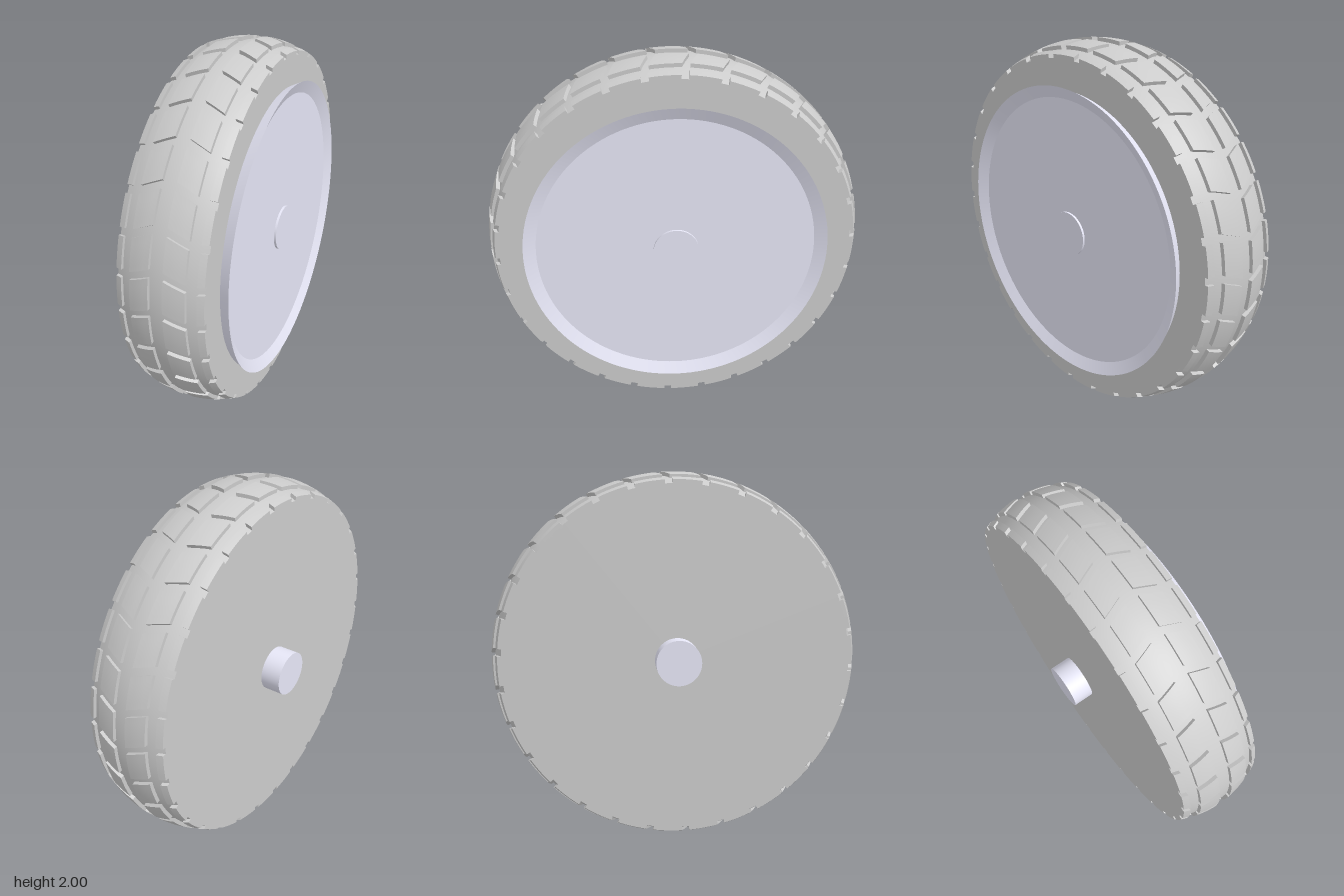
import * as THREE from 'three';
import { toCreasedNormals } from 'three/addons/utils/BufferGeometryUtils.js';

const MID = 0.0275;   // tyre centre plane along x
const HALF = 0.2275;  // tyre half width
const PITCHES = 30;   // tread repeats round the tyre
const STEP = (Math.PI * 2) / PITCHES;
const deg = THREE.MathUtils.degToRad;

const rubber = new THREE.MeshStandardMaterial({ color: 0xcccccc });
const metal = new THREE.MeshStandardMaterial({ color: 0xe6e6f6 });

// Crowned tyre radius at a distance u from the centre plane
const baseRadius = (u) => 0.981 - u * u;

// Revolve [x, radius] pairs round the x axis
function revolve(name, pairs, material, segments = 120) {
  const geo = new THREE.LatheGeometry(pairs.map(([x, r]) => new THREE.Vector2(r, x)), segments);
  geo.rotateZ(-Math.PI / 2);
  const mesh = new THREE.Mesh(toCreasedNormals(geo, 0.4), material);
  mesh.name = name;
  return mesh;
}

// Raised tread block between u0 and u1, wrapped on the crown.
// Angles run from the front (+z) over the top; slant shifts the block back away from the centre.
function treadBlock(u0, u1, start, end, slant) {
  const geo = new THREE.BoxGeometry(1, 1, 1, 4, 1, 5);
  const p = geo.attributes.position;
  for (let i = 0; i < p.count; i++) {
    const u = THREE.MathUtils.lerp(u0, u1, p.getX(i) + 0.5);
    const r = baseRadius(u) + (p.getY(i) > 0 ? 0.02 : -0.01);
    const a = THREE.MathUtils.lerp(end, start, p.getZ(i) + 0.5) - slant * Math.abs(u);
    p.setXYZ(i, MID + u, r * Math.sin(a), r * Math.cos(a));
  }
  return toCreasedNormals(geo, 0.4);
}

export function createModel() {
  const wheel = new THREE.Group();
  wheel.name = 'wheel';
  wheel.position.y = 1;

  // Tyre body: closed back face, crowned tread, flat outer face
  const profile = [[MID - HALF, 0]];
  for (let i = 0; i <= 16; i++) {
    const u = HALF * (i / 8 - 1);
    profile.push([MID + u, baseRadius(u)]);
  }
  profile.push([MID + HALF, 0]);
  wheel.add(revolve('tyre', profile, rubber));

  // Tread: chevron blocks beside the centre groove, shoulder blocks at the edges
  const slant = deg(2.4) / 0.106;
  const lead = slant * 0.037;
  const blocks = {
    leftChevronBlock: treadBlock(0.037, 0.143, deg(0.8) + lead, deg(10.4) + lead, slant),
    rightChevronBlock: treadBlock(-0.143, -0.037, deg(0.8) + lead, deg(10.4) + lead, slant),
    leftShoulderBlock: treadBlock(0.195, HALF, deg(-2), deg(7.6), 0),
    rightShoulderBlock: treadBlock(-HALF, -0.195, deg(-2), deg(7.6), 0),
  };
  const tread = new THREE.Group();
  tread.name = 'tread';
  for (let k = 0; k < PITCHES; k++) {
    for (const [name, geo] of Object.entries(blocks)) {
      const block = new THREE.Mesh(geo, rubber);
      block.name = name;
      block.rotation.x = -k * STEP;
      tread.add(block);
    }
  }
  wheel.add(tread);

  // Flared rim with a shallow dish
  wheel.add(revolve('rim', [[0.25, 0.77], [0.31, 0.8], [0.28, 0.735], [0.28, 0]], metal));

  // Axle: stub at the back, thin cap in the dish
  wheel.add(revolve('axle', [[-0.31, 0], [-0.31, 0.12], [0.292, 0.12], [0.292, 0]], metal, 64));

  const model = new THREE.Group();
  model.name = 'wheelModel';
  model.add(wheel);
  return model;
}
